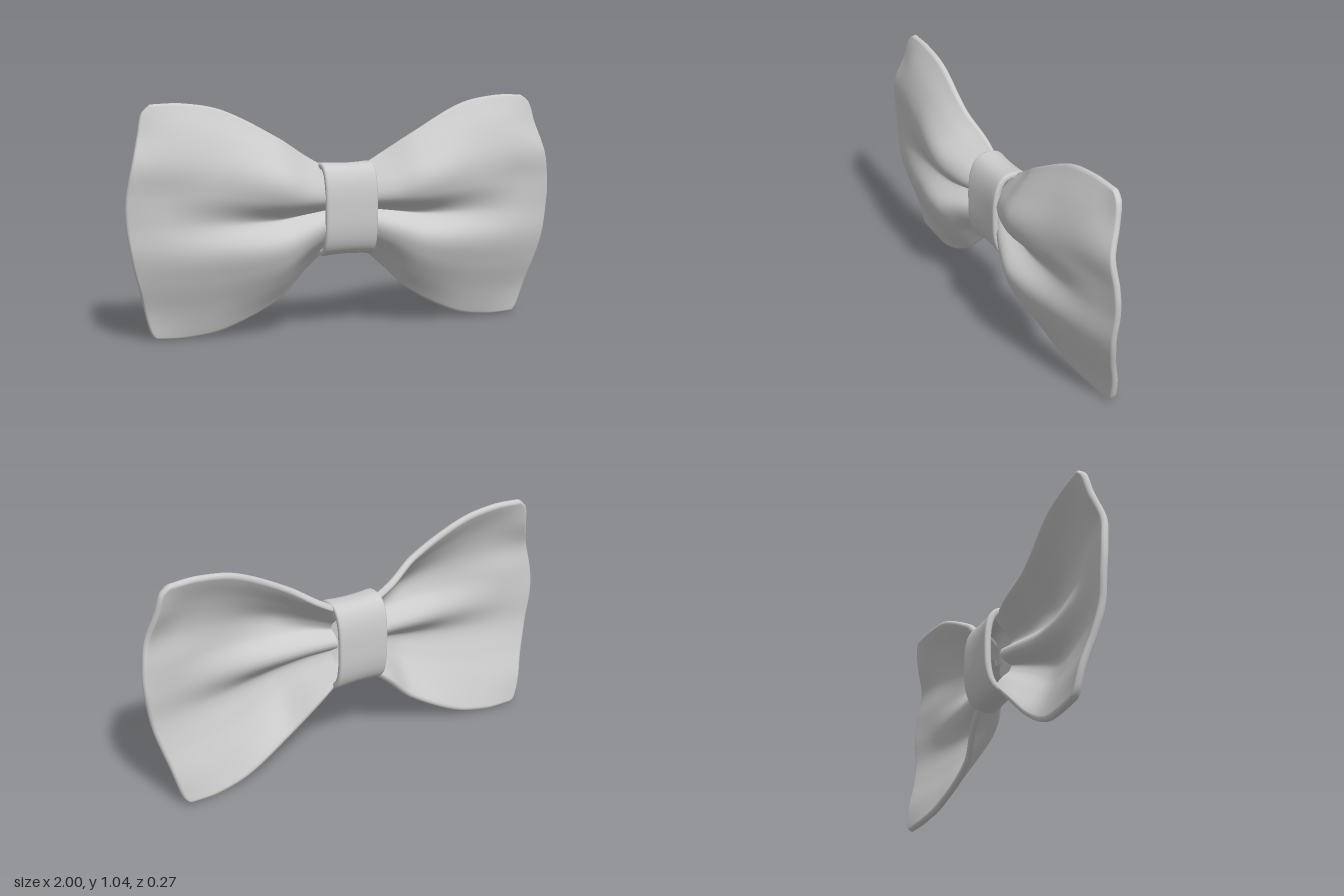
import * as THREE from 'three';
import { mergeVertices } from 'three/addons/utils/BufferGeometryUtils.js';

// Smooth curve through (xs, ys), with uneven spacing allowed
function spline(xs, ys, x) {
  const n = xs.length;
  let i = 0;
  while (i < n - 2 && x > xs[i + 1]) i++;
  const slope = k => {
    const a = Math.max(0, k - 1), b = Math.min(n - 1, k + 1);
    return (ys[b] - ys[a]) / (xs[b] - xs[a]);
  };
  const h = xs[i + 1] - xs[i], t = (x - xs[i]) / h, t2 = t * t, t3 = t2 * t;
  return (2 * t3 - 3 * t2 + 1) * ys[i] + (t3 - 2 * t2 + t) * h * slope(i)
    + (3 * t2 - 2 * t3) * ys[i + 1] + (t3 - t2) * h * slope(i + 1);
}

// Wing outline: s runs from knot (0) to outer rim (1), v from bottom (-1) to top (1)
const S = [0, 0.13, 0.3, 0.6, 0.82, 1];
const TOP = [0.725, 0.785, 0.875, 1.0, 1.035, 1.035];
const BOTTOM = [0.375, 0.29, 0.165, 0.04, 0.005, 0.005];
const RIM_V = [-1, -0.95, -0.6, -0.3, 0.1, 0.4, 0.75, 0.93, 1];
const RIM_X = [0.85, 0.88, 0.93, 0.972, 1, 0.985, 0.938, 0.915, 0.875];

// Fold depth of the cloth at each s, from bottom to top
const V = [-1, -0.75, -0.5, -0.25, 0, 0.25, 0.5, 0.75, 1];
const FOLDS = [
  [-0.06, -0.03, 0.01, 0.02, -0.03, 0.02, 0.01, -0.03, -0.06],
  [-0.06, 0.0, 0.06, 0.07, 0.0, 0.07, 0.065, 0.01, -0.06],
  [-0.035, 0.04, 0.095, 0.11, 0.03, 0.1, 0.112, 0.05, -0.03],
  [-0.06, -0.01, 0.04, 0.07, 0.035, 0.065, 0.07, 0.03, -0.04],
  [-0.08, -0.045, 0.0, 0.03, 0.02, 0.025, 0.04, 0.01, -0.045],
  [-0.085, -0.07, -0.035, -0.012, -0.012, -0.003, 0.008, -0.03, -0.05],
];

function clothPoint(s, v) {
  const top = spline(S, TOP, s), bottom = spline(S, BOTTOM, s);
  const z = spline(S, FOLDS.map(row => spline(V, row, v)), s);
  return new THREE.Vector3(
    0.08 + s * (spline(RIM_V, RIM_X, v) - 0.08),
    bottom + (top - bottom) * (v + 1) / 2, z);
}

// Sheet with a rounded hem: front and back skins meeting at the rim
function wingGeometry(side) {
  const HALF = 0.016, HEM = 0.03;
  const vs = [], ss = [];
  const hem = [0, 0.05, 0.2, 0.45, 0.72, 1].map(k => k * HEM);
  for (const h of hem) vs.push(-1 + h);
  for (let i = 1; i < 56; i++) vs.push((-1 + HEM) + (2 - 2 * HEM) * i / 56);
  for (const h of [...hem].reverse()) vs.push(1 - h);
  for (let i = 0; i < 48; i++) ss.push((1 - HEM / 2) * i / 48);
  for (const h of [...hem].reverse()) ss.push(1 - h / 2);

  const positions = [], index = [], cols = vs.length, count = cols * ss.length;
  const round = d => Math.sqrt(Math.max(0, 1 - (1 - Math.min(1, d)) ** 2));
  for (const face of [1, -1]) {
    for (const s of ss) for (const v of vs) {
      const e = 0.004;
      const p = clothPoint(s, v);
      const ds = clothPoint(Math.min(1, s + e), v).sub(clothPoint(Math.max(0, s - e), v));
      const dv = clothPoint(s, Math.min(1, v + e)).sub(clothPoint(s, Math.max(-1, v - e)));
      const t = HALF * round((1 - Math.abs(v)) / HEM) * round((1 - s) / (HEM / 2));
      p.addScaledVector(ds.cross(dv).normalize(), face * t);
      positions.push(side * p.x, p.y, p.z);
    }
  }
  for (let f = 0; f < 2; f++) {
    for (let i = 0; i < ss.length - 1; i++) for (let j = 0; j < cols - 1; j++) {
      const a = f * count + i * cols + j, b = a + cols, c = b + 1, d = a + 1;
      if ((f === 0) === (side === 1)) index.push(a, b, c, a, c, d);
      else index.push(a, c, b, a, d, c);
    }
  }
  let g = new THREE.BufferGeometry();
  g.setAttribute('position', new THREE.Float32BufferAttribute(positions, 3));
  g.setIndex(index);
  g = mergeVertices(g, 1e-5);
  g.computeVertexNormals();
  return g;
}

// Closed band: a rounded strip swept round a squarish oval in the y-z plane
function bandGeometry() {
  const W = 0.122, T = 0.016, R = 0.013, section = [];
  for (const [sx, sr, a0] of [[1, 1, 0], [-1, 1, 90], [-1, -1, 180], [1, -1, 270]]) {
    for (let k = 0; k <= 4; k++) {
      const a = (a0 + k * 22.5) * Math.PI / 180;
      section.push([sx * (W - R) + R * Math.cos(a), sr * (T - R) + R * Math.sin(a)]);
    }
    // Extra points across the two wide faces
    if (a0 === 90) for (let k = 1; k < 8; k++) section.push([-W, T - R - 2 * (T - R) * k / 8]);
    if (a0 === 0 || a0 === 180) {
      for (let k = 1; k < 8; k++) section.push([sx * (W - R) * (1 - k / 4), sr * T]);
    }
  }
  const N = 96, M = section.length, positions = [], index = [];
  const pow = c => Math.sign(c) * Math.abs(c) ** 0.72;
  const path = a => [0.55 + 0.192 * pow(Math.sin(a)), -0.029 + 0.088 * pow(Math.cos(a))];
  for (let i = 0; i < N; i++) {
    const a = (i + 0.5) / N * Math.PI * 2;
    const [y, z] = path(a), [y0, z0] = path(a - 0.01), [y1, z1] = path(a + 0.01);
    const len = Math.hypot(y1 - y0, z1 - z0);
    const ny = -(z1 - z0) / len, nz = (y1 - y0) / len;
    for (const [x, r] of section) {
      const out = r - 0.005 + 0.007 * (x / W) ** 2;
      positions.push(x, y + ny * out, z + nz * out);
    }
  }
  for (let i = 0; i < N; i++) for (let j = 0; j < M; j++) {
    const i2 = (i + 1) % N, j2 = (j + 1) % M;
    const a = i * M + j, b = i2 * M + j, c = i2 * M + j2, d = i * M + j2;
    index.push(a, b, c, a, c, d);
  }
  const g = new THREE.BufferGeometry();
  g.setAttribute('position', new THREE.Float32BufferAttribute(positions, 3));
  g.setIndex(index);
  g.computeVertexNormals();
  return g;
}

export function createModel() {
  const group = new THREE.Group();
  group.name = 'bowTie';
  const cloth = new THREE.MeshStandardMaterial({ color: 0xcccccc, side: THREE.DoubleSide });
  const add = (name, geometry) => {
    const mesh = new THREE.Mesh(geometry, cloth);
    mesh.name = name;
    group.add(mesh);
  };
  add('leftWing', wingGeometry(1));
  add('rightWing', wingGeometry(-1));
  add('centreBand', bandGeometry());
  return group;
}
